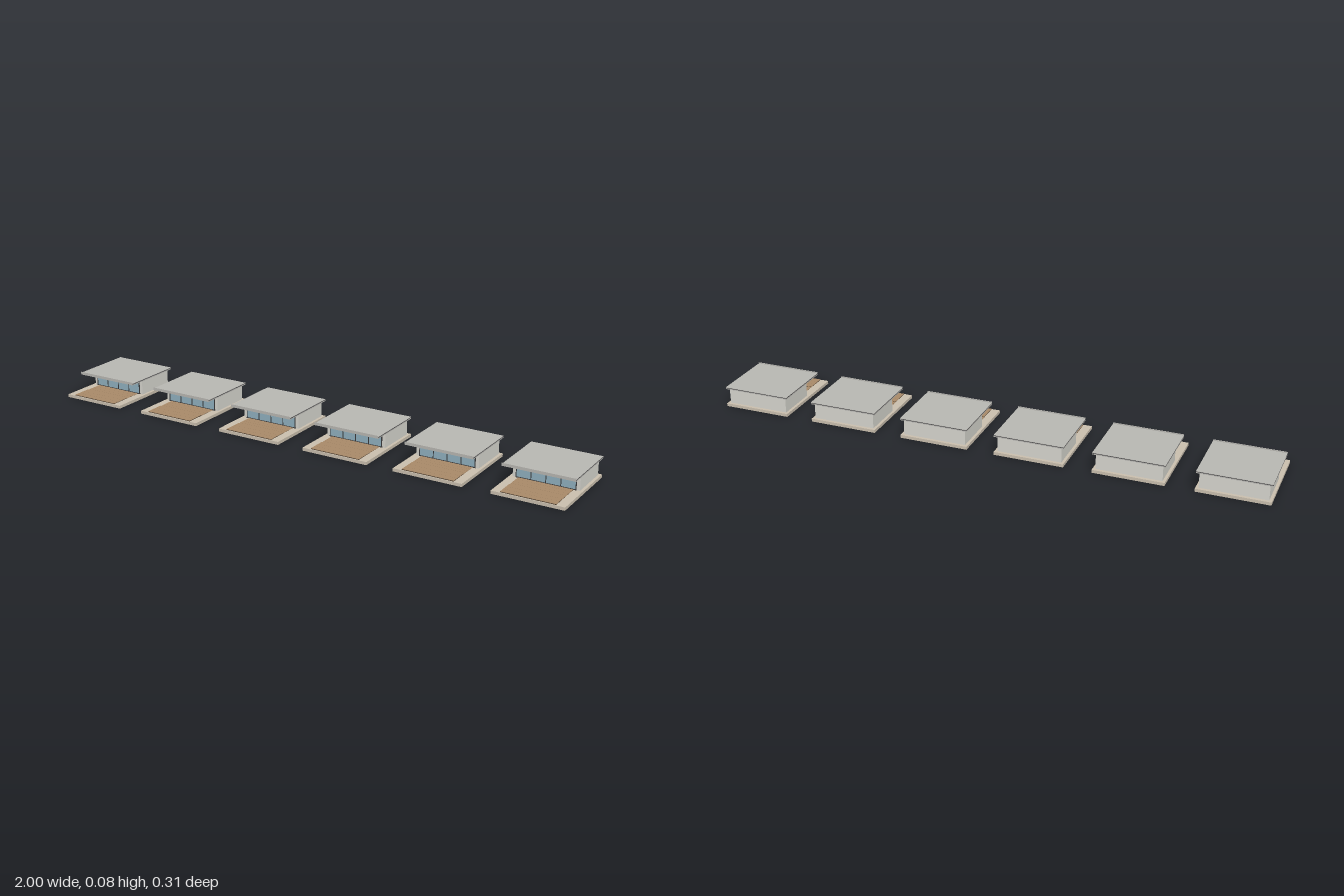
import * as THREE from 'three';

const mat = (color) => new THREE.MeshStandardMaterial({ color });
const concrete = mat(0xcabfae), wallMat = mat(0xd6d5ce), roofMat = mat(0xb8b7b2);
const darkMetal = mat(0x3a3a3c), glassMat = mat(0x8fb0be), wood = mat(0xa98a68), gapMat = mat(0x4a3a2c);

// Box given by its limits on each axis
function block(parent, name, material, [x0, x1], [y0, y1], [z0, z1]) {
  const mesh = new THREE.Mesh(new THREE.BoxGeometry(x1 - x0, y1 - y0, z1 - z0), material);
  mesh.position.set((x0 + x1) / 2, (y0 + y1) / 2, (z0 + z1) / 2);
  mesh.name = name;
  parent.add(mesh);
}

// Row of planks running along x, from z0 to z1
function planks(parent, name, count, y, [z0, z1]) {
  const deck = new THREE.Group();
  deck.name = name;
  block(deck, 'deckBearer', gapMat, [-0.094, 0.094], [0.01, y - 0.001], [z0, z1]);
  const pitch = (z1 - z0) / count;
  for (let i = 0; i < count; i++) {
    const z = z0 + i * pitch;
    block(deck, 'plank', wood, [-0.094, 0.094], [y - 0.002, y], [z + 0.0003, z + pitch - 0.0003]);
  }
  parent.add(deck);
}

function pavilion() {
  const house = new THREE.Group();
  house.name = 'pavilion';

  // Foundation slab and room
  block(house, 'foundation', concrete, [-0.125, 0.125], [0, 0.011], [-0.156, 0.156]);
  block(house, 'room', wallMat, [-0.115, 0.115], [0.011, 0.068], [-0.145, 0.01]);

  // Terrace in two levels
  planks(house, 'innerDeck', 3, 0.0125, [0.013, 0.07]);
  planks(house, 'outerDeck', 3, 0.014, [0.081, 0.152]);
  block(house, 'deckStep', wood, [-0.094, 0.094], [0.011, 0.0122], [0.07, 0.081]);

  // Glazed front with frame and mullions
  const front = new THREE.Group();
  front.name = 'glazedFront';
  block(front, 'glass', glassMat, [-0.103, 0.103], [0.013, 0.066], [0.009, 0.0115]);
  for (const y of [0.011, 0.065]) {
    block(front, 'frameRail', darkMetal, [-0.104, 0.104], [y, y + 0.003], [0.009, 0.0135]);
  }
  for (let i = 0; i <= 4; i++) {
    const x = -0.102 + i * 0.051;
    block(front, 'mullion', darkMetal, [x - 0.0012, x + 0.0012], [0.011, 0.068], [0.009, 0.0135]);
  }
  house.add(front);

  // Overhanging roof with dark trim and a low front lip
  block(house, 'roofSlab', roofMat, [-0.125, 0.125], [0.068, 0.0715], [-0.155, 0.078]);
  block(house, 'roofTrim', darkMetal, [-0.125, 0.125], [0.0715, 0.0735], [-0.155, 0.078]);
  block(house, 'roofCover', roofMat, [-0.125, 0.125], [0.0735, 0.075], [-0.155, 0.078]);
  block(house, 'roofLip', roofMat, [-0.125, 0.125], [0.0715, 0.079], [0.078, 0.0795]);
  return house;
}

export function createModel() {
  const row = new THREE.Group();
  row.name = 'pavilionRow';
  for (let i = 0; i < 6; i++) {
    const house = pavilion();
    house.position.x = -0.875 + i * 0.35;
    row.add(house);
  }
  return row;
}
